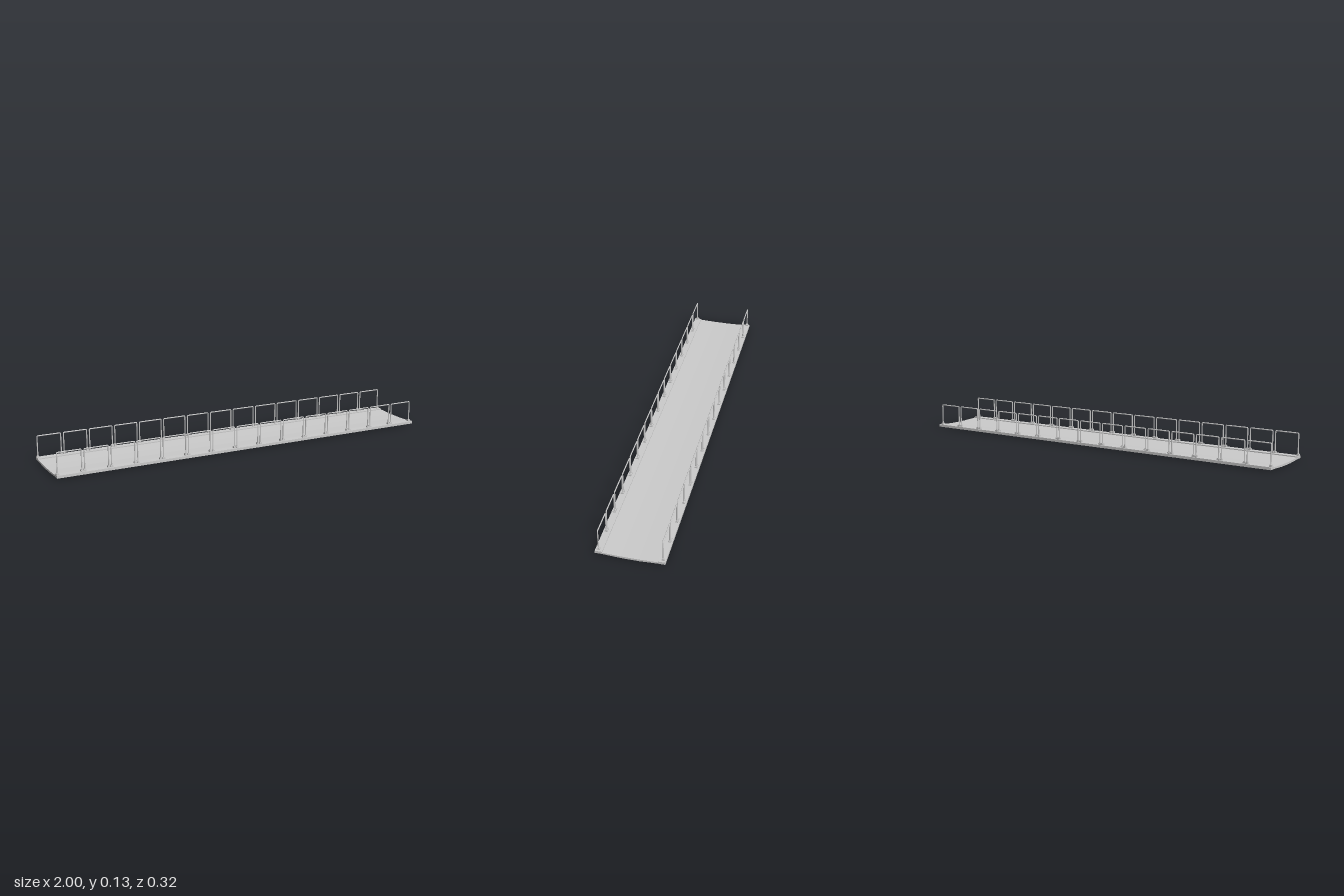
import * as THREE from 'three';

const material = new THREE.MeshStandardMaterial({ color: 0xcccccc, flatShading: true });
const railMaterial = new THREE.MeshStandardMaterial({ color: 0xcccccc });

function addMesh(parent, name, geometry, mat, x = 0, y = 0, z = 0) {
  const mesh = new THREE.Mesh(geometry, mat);
  mesh.name = name;
  mesh.position.set(x, y, z);
  parent.add(mesh);
  return mesh;
}

// Shallow dished slab with raised kerbs, extruded along x
function deckGeometry() {
  const half = [[0.042, 0], [0.128, 0.005], [0.162, 0.005], [0.162, 0.018],
    [0.128, 0.018], [0.128, 0.013], [0.042, 0.01]];
  const mirrored = half.map(([z, y]) => [-z, y]).reverse();
  const shape = new THREE.Shape([...half, ...mirrored].map(([z, y]) => new THREE.Vector2(z, y)));
  const geometry = new THREE.ExtrudeGeometry(shape, { depth: 2, bevelEnabled: false });
  geometry.translate(0, 0, -1);
  geometry.rotateY(Math.PI / 2);
  return geometry;
}

// Upside-down U of round bar with tight bends
function hoopGeometry(width, base, top, radius) {
  const w = width / 2, bend = 0.005;
  const p = (x, y) => new THREE.Vector3(x, y, 0);
  const path = new THREE.CurvePath();
  path.add(new THREE.LineCurve3(p(-w, base), p(-w, top - bend)));
  path.add(new THREE.QuadraticBezierCurve3(p(-w, top - bend), p(-w, top), p(-w + bend, top)));
  path.add(new THREE.LineCurve3(p(-w + bend, top), p(w - bend, top)));
  path.add(new THREE.QuadraticBezierCurve3(p(w - bend, top), p(w, top), p(w, top - bend)));
  path.add(new THREE.LineCurve3(p(w, top - bend), p(w, base)));
  return new THREE.TubeGeometry(path, 120, radius, 8, false);
}

export function createModel() {
  const model = new THREE.Group();
  model.name = 'footbridge';
  addMesh(model, 'deck', deckGeometry(), material);

  const count = 15, pitch = 0.1328, width = 0.1185, firstX = -0.9343;
  const hoop = hoopGeometry(width, 0.018, 0.126, 0.003);
  const foot = new THREE.BoxGeometry(0.0125, 0.007, 0.014);
  const collar = new THREE.BoxGeometry(0.009, 0.003, 0.008);

  for (const side of [1, -1]) {
    const railing = new THREE.Group();
    railing.name = side > 0 ? 'frontRailing' : 'backRailing';
    railing.position.z = side * 0.1485;
    model.add(railing);
    for (let i = 0; i < count; i++) {
      const x = firstX + i * pitch;
      addMesh(railing, 'railHoop', hoop, railMaterial, x);
      // Foot plate and collar under each post
      for (const end of [-1, 1]) {
        const postX = x + end * width / 2;
        addMesh(railing, 'postFoot', foot, material, postX, 0.0215);
        addMesh(railing, 'postCollar', collar, material, postX, 0.0265);
      }
    }
  }
  return model;
}
